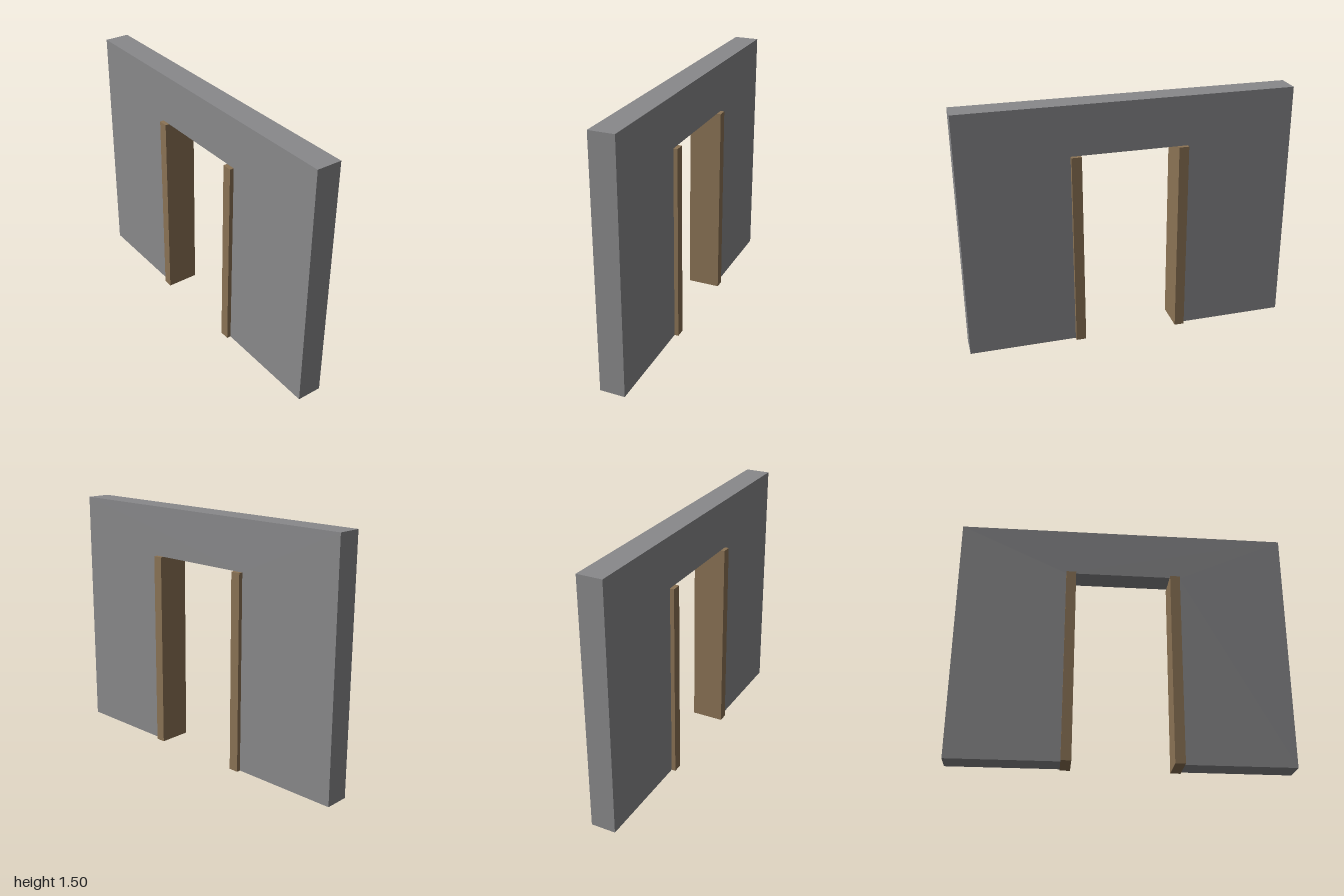
import * as THREE from 'three';

const WALL = { halfWidth: 1, height: 1.5, depth: 0.15 };
const OPENING = { halfWidth: 0.35, height: 1.2 };
const JAMB = { width: 0.06, depth: 0.2 };

export function createModel() {
  const model = new THREE.Group();
  model.name = 'wallWithDoorway';

  const plaster = new THREE.MeshStandardMaterial({ color: 0x89898b });
  plaster.name = 'grey plaster';
  const wood = new THREE.MeshStandardMaterial({ color: 0x8b7355 });
  wood.name = 'brown wood';

  // Wall: one outline that runs around the doorway
  const outline = new THREE.Shape([
    [-WALL.halfWidth, 0],
    [-OPENING.halfWidth, 0],
    [-OPENING.halfWidth, OPENING.height],
    [OPENING.halfWidth, OPENING.height],
    [OPENING.halfWidth, 0],
    [WALL.halfWidth, 0],
    [WALL.halfWidth, WALL.height],
    [-WALL.halfWidth, WALL.height],
  ].map(([x, y]) => new THREE.Vector2(x, y)));
  const wallGeometry = new THREE.ExtrudeGeometry(outline, { depth: WALL.depth, bevelEnabled: false });
  wallGeometry.translate(0, 0, -WALL.depth / 2);
  const wall = new THREE.Mesh(wallGeometry, plaster);
  wall.name = 'wall';
  model.add(wall);

  // Door jambs: posts lining both sides, proud of the wall front and back
  const jambGeometry = new THREE.BoxGeometry(JAMB.width, OPENING.height, JAMB.depth);
  for (const [name, side] of [['leftJamb', 1], ['rightJamb', -1]]) {
    const jamb = new THREE.Mesh(jambGeometry, wood);
    jamb.name = name;
    jamb.position.set(side * (OPENING.halfWidth - JAMB.width / 2), OPENING.height / 2, 0);
    model.add(jamb);
  }

  return model;
}
